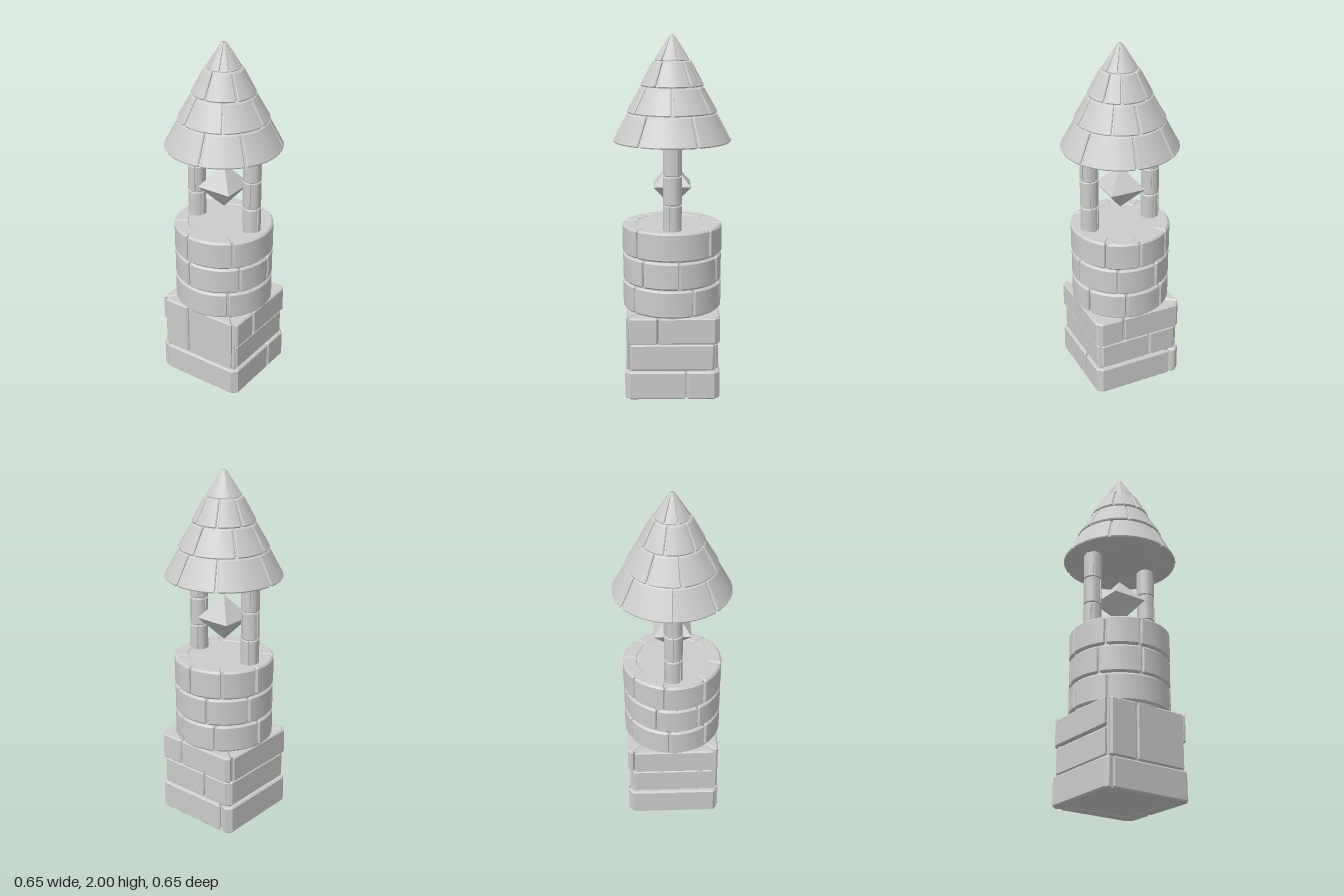
import * as THREE from 'three';
import { toCreasedNormals } from 'three/addons/utils/BufferGeometryUtils.js';

const material = new THREE.MeshStandardMaterial({ color: 0xcccccc });
const rad = THREE.MathUtils.degToRad;

// Plan outlines: radius as a function of angle, and the angles where the outline bends
const round = (r) => ({
  size: r,
  radius: () => r,
  bends: Array.from({ length: 36 }, (_, i) => i * 10),
});
const square = (w, cut = 0.03) => ({
  size: w,
  radius: (a) => {
    const c = Math.abs(Math.cos(a)), s = Math.abs(Math.sin(a));
    return Math.min(w / Math.max(c, s), (2 * w - cut) / (c + s));
  },
  bends: [0, 90, 180, 270].flatMap((q) => {
    const b = THREE.MathUtils.radToDeg(Math.atan((w - cut) / w));
    return [q + b, q + 90 - b];
  }),
});

// One bevelled stone between two angles (degrees, from +x towards +z), narrowing to `taper` at its top
function stone(outline, from, to, y0, y1, { taper = 1, inner = 0.7, bevel = 0.008, gap = 0.005 } = {}) {
  const at = (deg, k = 1) => {
    const a = rad(deg), r = outline.radius(a) * k;
    return new THREE.Vector2(r * Math.cos(a), -r * Math.sin(a));
  };
  const g = THREE.MathUtils.radToDeg(gap / outline.size);
  const a0 = from + g, a1 = to - g;
  const mids = [-360, 0, 360]
    .flatMap((t) => outline.bends.map((b) => b + t))
    .filter((b) => b > a0 + 1.6 * g && b < a1 - 1.6 * g)
    .sort((p, q) => p - q);
  const chamfer = 1 - 0.006 / outline.size;
  const outer = [at(a0, chamfer), ...[a0 + g, ...mids, a1 - g].map((d) => at(d)), at(a1, chamfer)];
  const back = [a0, ...mids, a1].reverse().map((d) => at(d, inner));
  let geo = new THREE.ExtrudeGeometry(new THREE.Shape([...outer, ...back]), {
    depth: y1 - y0 - 2 * bevel,
    bevelThickness: bevel, bevelSize: bevel, bevelOffset: -bevel, bevelSegments: 1,
  });
  geo.rotateX(-Math.PI / 2).translate(0, y0 + bevel, 0);
  const p = geo.attributes.position;
  for (let i = 0; i < p.count; i++) {
    const k = 1 + (taper - 1) * (p.getY(i) - y0) / (y1 - y0);
    p.setX(i, p.getX(i) * k);
    p.setZ(i, p.getZ(i) * k);
  }
  geo = toCreasedNormals(geo, 0.35);
  return new THREE.Mesh(geo, material);
}

// A closed ring of stones split at the given joint angles
function course(name, outline, joints, y0, y1, options) {
  const group = new THREE.Group();
  group.name = name;
  const sorted = joints.map((j) => (j + 360) % 360).sort((a, b) => a - b);
  sorted.forEach((from, i) => {
    const to = i + 1 < sorted.length ? sorted[i + 1] : sorted[0] + 360;
    const mesh = stone(outline, from, to, y0, y1, options);
    mesh.name = name + 'Stone';
    group.add(mesh);
  });
  return group;
}

function core(name, rTop, rBottom, y0, y1, sides = 36) {
  const mesh = new THREE.Mesh(new THREE.CylinderGeometry(rTop, rBottom, y1 - y0, sides), material);
  mesh.position.y = (y0 + y1) / 2;
  mesh.name = name;
  return mesh;
}

function createBase() {
  const base = new THREE.Group();
  base.name = 'squareBase';
  const fill = new THREE.Mesh(new THREE.BoxGeometry(0.48, 0.465, 0.48), material);
  fill.name = 'baseCore';
  fill.position.y = 0.2375;
  base.add(fill);
  base.add(course('baseCourse', square(0.265), [-17, -128, 132], 0, 0.163));
  // Rows of [half width, bottom, top, joint angles]; the first is two courses tall
  const rows = [
    [0.258, 0.168, 0.478, [46, 106, 136]],
    [0.254, 0.168, 0.32, [136, 255, 406]],
    [0.264, 0.325, 0.478, [136, 222, 291, 377, 406]],
  ];
  for (const [w, y0, y1, joints] of rows) {
    for (let i = 0; i + 1 < joints.length; i++) {
      const mesh = stone(square(w), joints[i], joints[i + 1], y0, y1);
      mesh.name = 'baseStone';
      base.add(mesh);
    }
  }
  return base;
}

function createTower() {
  const tower = new THREE.Group();
  tower.name = 'roundTower';
  tower.add(core('towerCore', 0.262, 0.262, 0.47, 0.957));
  const rows = [
    [0.278, 0.48, 0.635, [50, -25, -72, -120, -175, 139]],
    [0.278, 0.64, 0.795, [-62, -8, 36, 100, 150, -160, -110]],
    [0.28, 0.8, 0.962, [45, 102, 142, -170, -128, -88, -48]],
  ];
  for (const [r, y0, y1, joints] of rows) tower.add(course('towerCourse', round(r), joints, y0, y1, { bevel: 0.01 }));
  return tower;
}

function createColumn(x) {
  const column = new THREE.Group();
  column.name = 'column';
  column.add(core('columnCore', 0.043, 0.043, 0.95, 1.44, 20));
  for (let i = 0; i < 3; i++) {
    const y = 0.945 + i * 0.16;
    const joints = [15, 130, 235].map((j) => j + i * 50);
    column.add(course('columnDrum', round(0.051), joints, y, y + 0.156, { inner: 0.6, bevel: 0.004, gap: 0.002 }));
  }
  column.position.x = x;
  return column;
}

function createRoof() {
  const roof = new THREE.Group();
  roof.name = 'conicalRoof';
  // Rows of [bottom radius, top radius, bottom, top, joint angles]
  const rows = [
    [0.329, 0.245, 1.425, 1.582, [180, -123, -80, -25, 34, 78, 136]],
    [0.252, 0.172, 1.585, 1.725, [-90, -55, 0, 56, 113, 170, -146]],
    [0.177, 0.104, 1.728, 1.864, [-118, -68, -35, 31, 90, 139, -165]],
    [0.097, 0.013, 1.866, 2, [-57, -17, 37, 69, 113, 160, -153]],
  ];
  rows.forEach(([r0, r1, y0, y1, joints], i) => {
    const tip = i === 3;
    roof.add(core('roofCore', tip ? 0.004 : r1 - 0.012, r0 - 0.014, y0 + 0.004, y1 - 0.004));
    roof.add(course('roofCourse', round(r0), joints, y0, y1, {
      taper: r1 / r0, inner: tip ? 0.5 : 0.65, bevel: tip ? 0.004 : 0.007, gap: tip ? 0.003 : 0.006,
    }));
  });
  return roof;
}

// Floating four-sided crystal with flat faces to the front
function createCrystal() {
  const geo = new THREE.CylinderGeometry(0, 0.146, 0.13, 4, 1, true, Math.PI / 4).toNonIndexed();
  geo.computeVertexNormals();
  const crystal = new THREE.Group();
  crystal.name = 'crystal';
  for (const side of [1, -1]) {
    const half = new THREE.Mesh(geo, material);
    half.name = 'crystalHalf';
    half.position.y = side * 0.065;
    if (side < 0) half.rotation.x = Math.PI;
    crystal.add(half);
  }
  crystal.position.y = 1.18;
  return crystal;
}

export function createModel() {
  const model = new THREE.Group();
  model.name = 'stoneTower';
  model.add(createBase(), createTower(), createColumn(-0.187), createColumn(0.187), createCrystal(), createRoof());
  return model;
}
